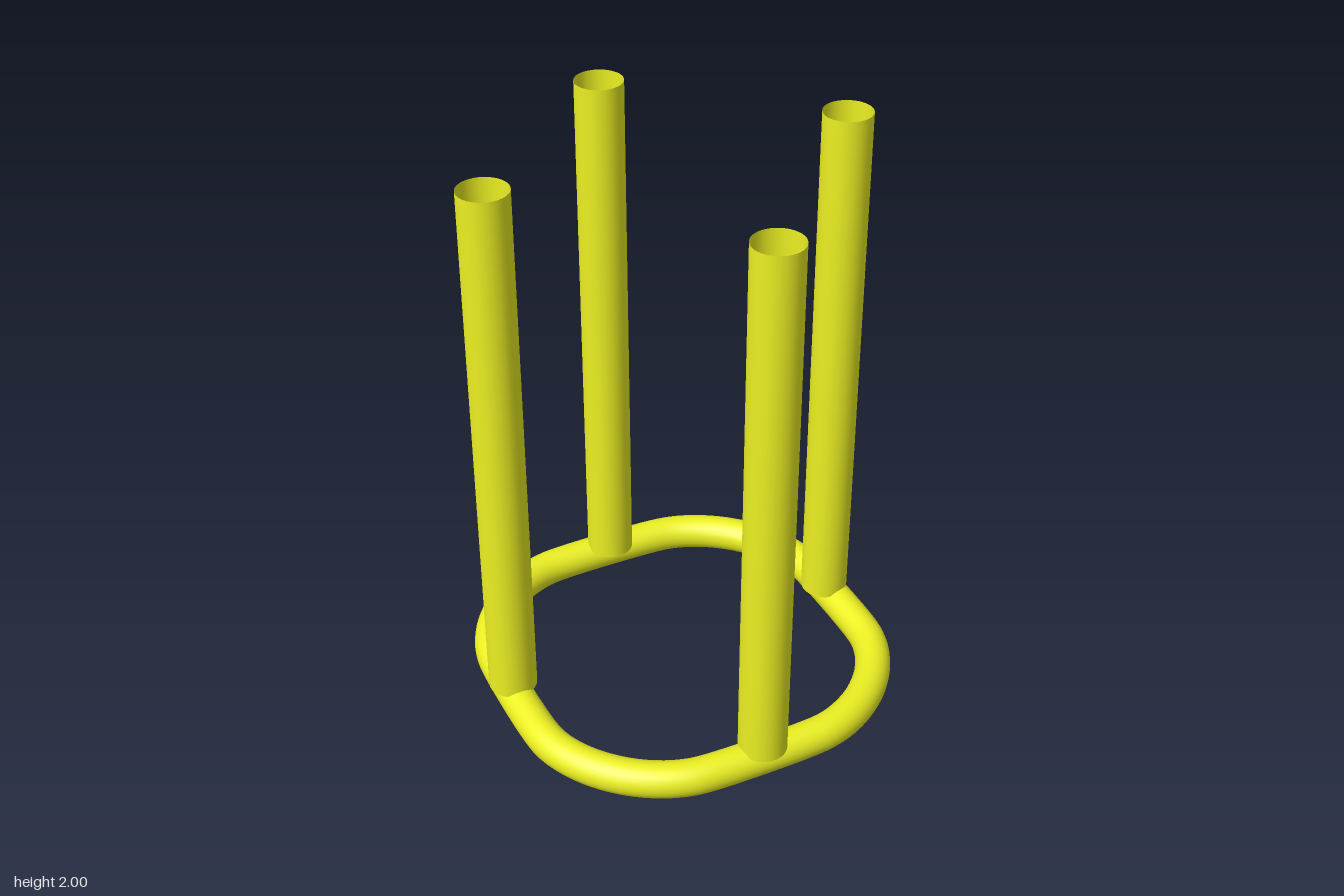
import * as THREE from 'three';

export function createModel() {
  const model = new THREE.Group();
  const material = new THREE.MeshStandardMaterial({ color: 0xecf022, side: THREE.DoubleSide });

  // Base ring: a rounded square path, one corner curve per quadrant
  const ringRadius = 0.062;
  const right = 0.633, left = -0.62, front = 0.618, back = -0.633;
  const straight = 0.18; // half length of the flat sides
  const handle = 0.5; // corner fullness
  const corner = (x, z) => {
    const sx = Math.sign(x) * straight, sz = Math.sign(z) * straight;
    return new THREE.CubicBezierCurve3(
      new THREE.Vector3(x, ringRadius, sz),
      new THREE.Vector3(x, ringRadius, sz + (z - sz) * handle),
      new THREE.Vector3(sx + (x - sx) * handle, ringRadius, z),
      new THREE.Vector3(sx, ringRadius, z)
    ).getPoints(8);
  };
  const path = new THREE.CatmullRomCurve3([
    ...corner(right, front),
    ...corner(left, front).reverse(),
    ...corner(left, back),
    ...corner(right, back).reverse(),
  ], true);
  const ring = new THREE.Mesh(new THREE.TubeGeometry(path, 128, ringRadius, 24, true), material);
  ring.name = 'baseRing';
  model.add(ring);

  // Four open upright tubes standing on the middle of each side
  const legBottom = 0.105, legTop = 2;
  const legGeometry = new THREE.CylinderGeometry(0.083, 0.083, legTop - legBottom, 40, 1, true);
  const legs = [
    ['leftPost', 0.612, -0.043],
    ['rightPost', -0.622, -0.043],
    ['frontPost', 0.003, 0.617],
    ['backPost', 0.003, -0.608],
  ];
  for (const [name, x, z] of legs) {
    const leg = new THREE.Mesh(legGeometry, material);
    leg.name = name;
    leg.position.set(x, (legBottom + legTop) / 2, z);
    model.add(leg);
  }
  return model;
}
